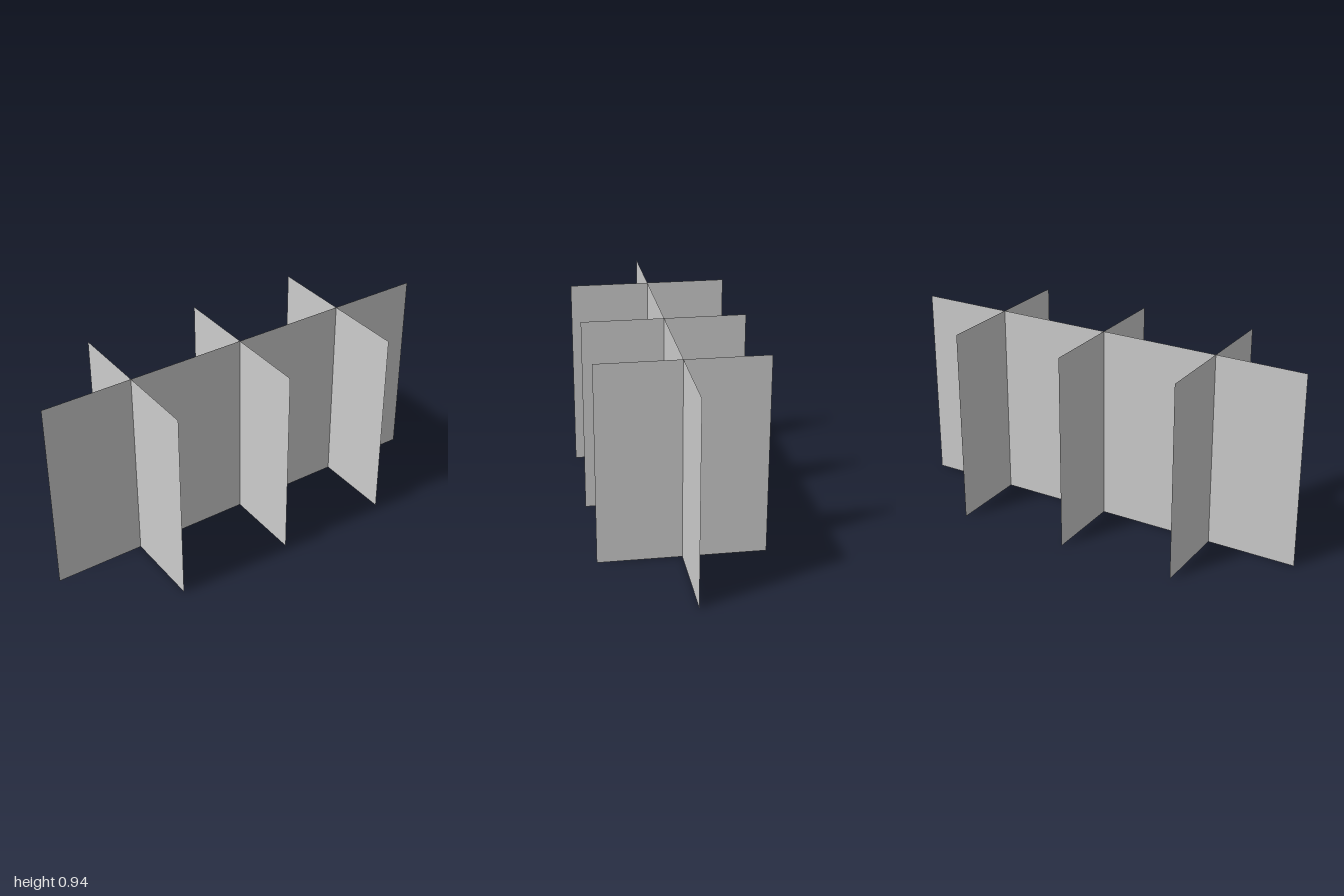
import * as THREE from 'three';

const LENGTH = 2, DEPTH = 0.77, HEIGHT = 0.942;

export function createModel() {
  const group = new THREE.Group();
  const material = new THREE.MeshStandardMaterial({ color: 0xcccccc, side: THREE.DoubleSide });

  // Thin upright panel standing on the ground
  const addPanel = (name, width, x, turn) => {
    const panel = new THREE.Mesh(new THREE.PlaneGeometry(width, HEIGHT), material);
    panel.name = name;
    panel.position.set(x, HEIGHT / 2, 0);
    panel.rotation.y = turn;
    group.add(panel);
  };

  // Long panel along x
  addPanel('longPanel', LENGTH, 0, 0);

  // Three cross panels along z, slightly unevenly spaced
  [-0.568, 0.004, 0.558].forEach((x, i) => addPanel(`crossPanel${i + 1}`, DEPTH, x, Math.PI / 2));

  return group;
}
